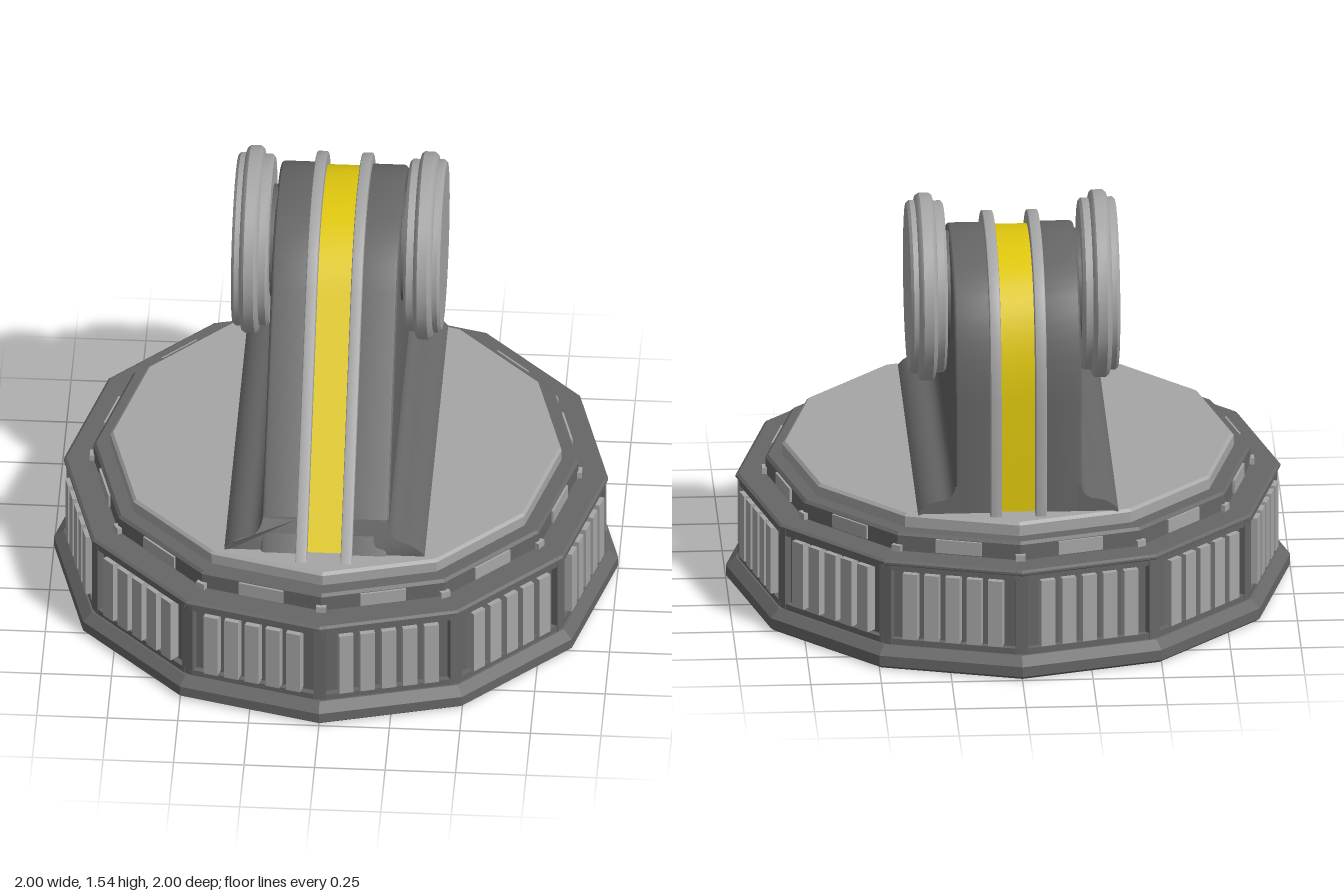
import * as THREE from 'three';
import { toCreasedNormals } from 'three/addons/utils/BufferGeometryUtils.js';

const mat = (name, color) => Object.assign(new THREE.MeshStandardMaterial({ color }), { name });

export function createModel() {
  const model = new THREE.Group();
  model.name = 'pivotMount';
  const dark = mat('dark grey', 0x666666);
  const light = mat('light grey', 0xa6a6a6);
  const yellow = mat('yellow', 0xe0c80e);

  const add = (name, geo, material, parent = model) => {
    const mesh = new THREE.Mesh(geo, material);
    mesh.name = name;
    parent.add(mesh);
    return mesh;
  };
  const lathe = (pts, sides, crease) =>
    toCreasedNormals(new THREE.LatheGeometry(pts.map(p => new THREE.Vector2(...p)), sides), crease);

  // Twelve-sided base, corners on the axes
  add('plinth', lathe([[0, 0], [0.985, 0], [1, 0.012], [1, 0.05], [0.965, 0.08], [0, 0.08]], 12, 0.2), dark);
  add('drum', lathe([[0.935, 0.07], [0.935, 0.39]], 12, 0.2), dark);
  add('drumRim', lathe([[0.93, 0.375], [0.955, 0.38], [0.965, 0.387], [0.965, 0.395], [0.955, 0.402], [0.8, 0.402]], 12, 0.2), dark);
  add('collar', lathe([[0.86, 0.4], [0.86, 0.46], [0.85, 0.47], [0.75, 0.47]], 12, 0.2), dark);
  add('turntable', lathe([[0.8, 0.465], [0.8, 0.51], [0.79, 0.52], [0, 0.52]], 12, 0.2), light);

  // Details repeated around the base
  const c15 = Math.cos(Math.PI / 12);
  const box = (name, size, pos, material, parent) =>
    add(name, new THREE.BoxGeometry(...size), material, parent).position.set(...pos);
  for (let i = 0; i < 12; i++) {
    const side = new THREE.Group();
    side.name = 'baseSide';
    side.rotation.y = (i + 0.5) * Math.PI / 6;
    model.add(side);
    for (let k = -2; k <= 2; k++)
      box('gripRib', [0.052, 0.25, 0.05], [k * 0.077, 0.235, 0.916], light, side);
    for (const y of [0.09, 0.375])
      box('panelRail', [0.47, 0.025, 0.03], [0, y, 0.958 * c15 - 0.015], dark, side);
    box('collarPlate', [0.165, 0.05, 0.03], [0, 0.433, 0.86 * c15 - 0.007], light, side);

    const corner = new THREE.Group();
    corner.name = 'baseCorner';
    corner.rotation.y = i * Math.PI / 6;
    model.add(corner);
    box('cornerPost', [0.045, 0.32, 0.04], [0, 0.24, 0.934], dark, corner);
    box('cornerPeg', [0.035, 0.03, 0.03], [0, 0.411, 0.857], light, corner);
  }

  // Side outline of the fin (z, y), grown outward by o
  const finShape = o => {
    const s = new THREE.Shape();
    s.moveTo(-0.70 - o, 0.5);
    s.lineTo(0.70 + 1.27 * o, 0.5);
    s.lineTo(0.10 + 0.78 * o, 1.245 + 0.63 * o);
    s.quadraticCurveTo(-0.034 + 0.4 * o, 1.41 + o, -0.26, 1.41 + o);
    s.bezierCurveTo(-0.56 - 0.4 * o, 1.41 + o, -0.69 - o, 1.27 + 0.4 * o, -0.70 - o, 0.95);
    return s;
  };
  const fin = (name, o, x0, x1, bevel, material) => {
    const g = new THREE.ExtrudeGeometry(finShape(o), {
      depth: x1 - x0 - 2 * bevel, curveSegments: 12, bevelEnabled: bevel > 0,
      bevelThickness: bevel, bevelSize: bevel, bevelOffset: -bevel, bevelSegments: 3,
    });
    g.rotateY(-Math.PI / 2);
    g.translate(x1 - bevel, 0, 0);
    add(name, toCreasedNormals(g, 0.5), material);
  };
  fin('yellowStripe', -0.008, -0.065, 0.065, 0, yellow);
  for (const [a, b] of [[0.06, 0.225], [-0.225, -0.06]]) fin('finBody', 0, a, b, 0.015, dark);
  for (const [a, b] of [[0.06, 0.1], [-0.1, -0.06]]) fin('finTrim', 0.042, a, b, 0.006, light);

  // Curved foot flanges along both sides of the fin
  for (const s of [1, -1]) {
    const f = new THREE.Shape();
    f.moveTo(0.1 * s, 0.51);
    f.lineTo(0.355 * s, 0.51);
    f.lineTo(0.355 * s, 0.523);
    f.quadraticCurveTo(0.33 * s, 0.56, 0.28 * s, 0.567);
    f.quadraticCurveTo(0.23 * s, 0.57, 0.222 * s, 0.62);
    f.lineTo(0.1 * s, 0.62);
    const g = new THREE.ExtrudeGeometry(f, { depth: 1.37, bevelEnabled: false, curveSegments: 6 });
    g.translate(0, 0, -0.7);
    // Keep the upper part of the flange behind the sloping front
    const p = g.attributes.position;
    for (let i = 0; i < p.count; i++)
      if (p.getZ(i) > 0) p.setZ(i, 0.675 - Math.max(0, p.getY(i) - 0.55) * 0.85);
    add('footFlange', toCreasedNormals(g, 0.6), dark);
  }

  // Pivot caps on both sides
  for (const s of [1, -1]) {
    const pivot = new THREE.Group();
    pivot.name = 'pivot';
    pivot.position.set(0, 1.205, -0.25);
    pivot.rotation.z = -s * Math.PI / 2;
    model.add(pivot);
    add('pivotBoss', new THREE.CylinderGeometry(0.2, 0.2, 0.06, 24), dark, pivot).position.y = 0.225;
    add('pivotCap', lathe([[0, 0.24], [0.295, 0.24], [0.307, 0.25], [0.307, 0.275], [0.325, 0.28], [0.335, 0.29],
      [0.335, 0.325], [0.325, 0.337], [0.309, 0.342], [0.309, 0.36], [0.298, 0.37], [0, 0.37]], 24, 0.6), light, pivot);
  }
  return model;
}
